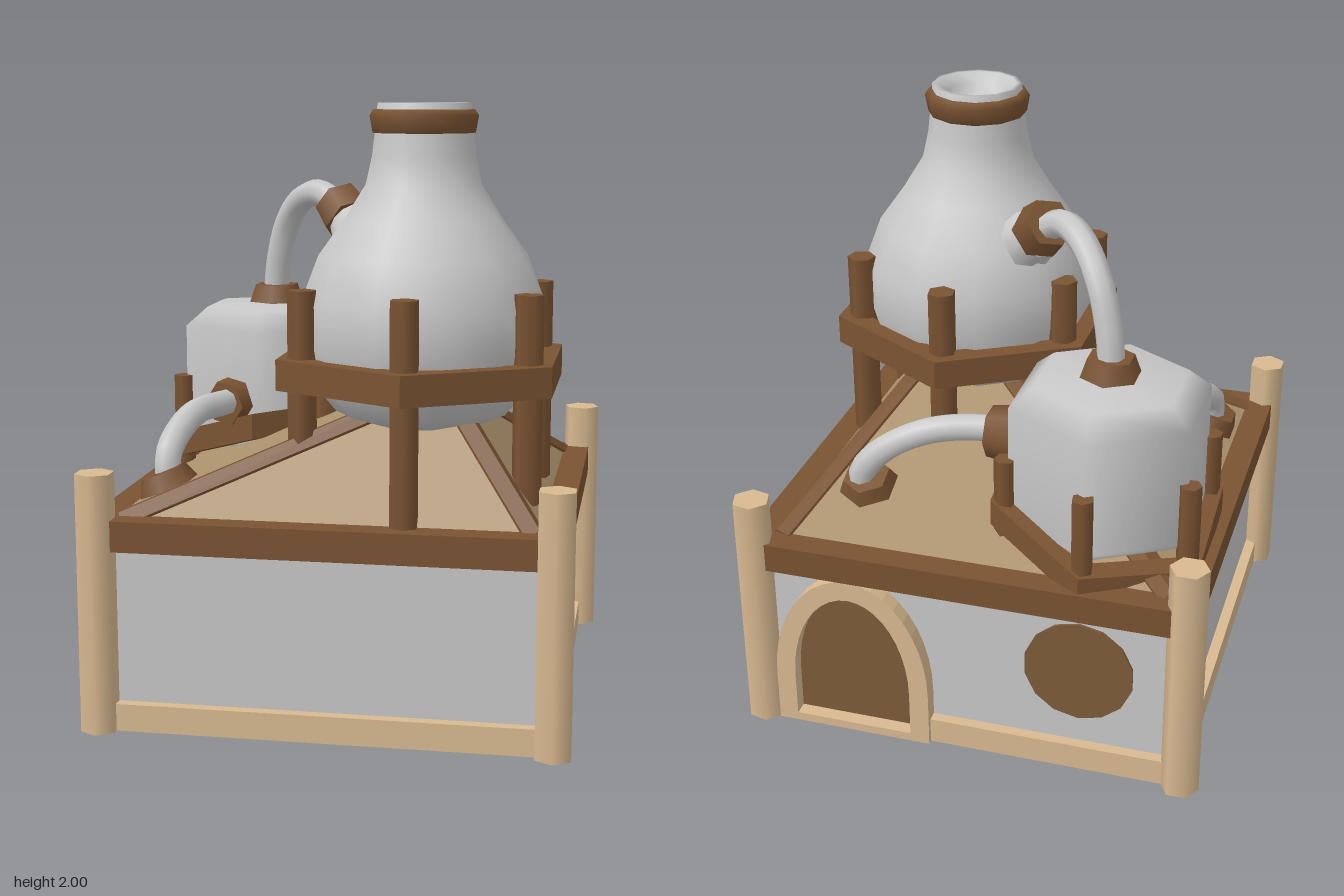
import * as THREE from 'three';
import { ConvexGeometry } from 'three/addons/geometries/ConvexGeometry.js';

const mat = (name, color, side = THREE.FrontSide) => {
  const m = new THREE.MeshStandardMaterial({ color, side });
  m.name = name;
  return m;
};

export function createModel() {
  const model = new THREE.Group();
  model.name = 'alchemyHut';
  const grey = mat('paleGrey', 0xc8c8c8, THREE.DoubleSide);
  const brown = mat('darkWood', 0x7a5332);
  const doorMat = mat('doorWood', 0x7c5b38);
  const tan = mat('paleWood', 0xd9ba91);
  const roofMat = mat('roofBoards', 0xab916d, THREE.DoubleSide);

  const V = (x, y, z) => new THREE.Vector3(x, y, z);
  const add = (name, geo, m, x = 0, y = 0, z = 0) => {
    const mesh = new THREE.Mesh(geo, m);
    mesh.name = name;
    mesh.position.set(x, y, z);
    model.add(mesh);
    return mesh;
  };

  // Off-centre pyramid roof and its height at any point
  const E = 0.67, apex = V(0.336, 1.12, 0.336);
  const roofY = (x, z) => 0.7 + Math.max(0, Math.min(
    0.417 * Math.min(x + E, z + E), 1.257 * Math.min(E - x, E - z)));

  // Four sides: wall, base rail, inner ledge and eave beam
  for (let i = 0; i < 4; i++) {
    const a = i * Math.PI / 2, s = Math.sin(a), c = Math.cos(a);
    const side = (name, m, w, h, d, y, r, shift = 0) => {
      const p = add(name, new THREE.BoxGeometry(w, h, d), m, s * r + c * shift, y, c * r - s * shift);
      p.rotation.y = a;
    };
    side('wall', grey, 1.38, 0.63, 0.02, 0.318, 0.69);
    side('innerLedge', tan, 1.36, 0.03, 0.03, 0.075, 0.668);
    side('eaveBeam', brown, 1.52 - (i % 2) * 0.18, 0.1, 0.09, 0.65, 0.715);
    // the back rail stops at the door
    if (i === 2) side('baseRail', tan, 0.84, 0.09, 0.04, 0.045, 0.717, 0.28);
    else side('baseRail', tan, 1.4, 0.09, 0.04, 0.045, 0.717);
  }

  // Corner posts
  for (const [x, z, turn] of [[-1, -1, 0.52], [-1, 1, 0], [1, 1, 0], [1, -1, 0.3]]) {
    add('cornerPost', new THREE.CylinderGeometry(0.064, 0.064, 0.85, 6), tan,
      x * 0.73, 0.425, z * 0.73).rotation.y = turn;
  }

  // Roof panels, with ridge beams folded over each hip
  const corners = [V(-E, 0.7, E), V(E, 0.7, E), V(E, 0.7, -E), V(-E, 0.7, -E)];
  const tris = [];
  corners.forEach((p, i) => {
    const next = corners[(i + 1) % 4], prev = corners[(i + 3) % 4];
    tris.push(p, next, apex);
    const along = apex.clone().sub(p).normalize();
    const [u, w] = [next, prev].map((q) => q.clone().sub(p).projectOnPlane(along).normalize());
    const up = u.clone().add(w).normalize().negate();
    const section = [
      up.clone().multiplyScalar(0.01),
      u.clone().multiplyScalar(0.05).addScaledVector(up, 0.009),
      w.clone().multiplyScalar(0.05).addScaledVector(up, 0.009),
      u.clone().multiplyScalar(0.05).addScaledVector(up, -0.03),
      w.clone().multiplyScalar(0.05).addScaledVector(up, -0.03)];
    const ends = [p, apex].flatMap((end) => section.map((o) => o.clone().add(end)));
    add('ridgeBeam', new ConvexGeometry(ends), brown);
  });
  const roof = new THREE.BufferGeometry().setFromPoints(tris);
  roof.computeVertexNormals();
  add('roofPanels', roof, roofMat);

  // Arched back door with a raised surround
  const arch = (r, y0, top, Type) => {
    const p = new Type(), spring = 0.19;
    p.moveTo(-r, y0);
    p.lineTo(r, y0);
    p.absellipse(0, spring, r, top - spring, 0, Math.PI, false);
    p.lineTo(-r, y0);
    return p;
  };
  const surround = arch(0.272, 0, 0.6, THREE.Shape);
  surround.holes.push(arch(0.205, 0.03, 0.53, THREE.Path));
  add('doorSurround', new THREE.ExtrudeGeometry(surround,
    { depth: 0.065, bevelEnabled: false, curveSegments: 10 }), tan, 0.4, 0, -0.69).rotation.y = Math.PI;
  add('door', new THREE.ShapeGeometry(arch(0.22, 0.02, 0.54, THREE.Shape), 10), doorMat,
    0.4, 0, -0.706).rotation.y = Math.PI;

  // Round back window
  add('roundWindow', new THREE.CylinderGeometry(0.185, 0.185, 0.009, 14), doorMat,
    -0.376, 0.37, -0.704).rotation.x = Math.PI / 2;

  // Hexagonal cradle rings and their posts
  const hex = (r, Type) => new Type(Array.from({ length: 6 }, (_, i) =>
    new THREE.Vector2(r * Math.sin(i * Math.PI / 3), r * Math.cos(i * Math.PI / 3))));
  const hexRing = (outer, inner, h) => {
    const s = hex(outer, THREE.Shape);
    s.holes.push(hex(inner, THREE.Path));
    return new THREE.ExtrudeGeometry(s, { depth: h, bevelEnabled: false }).rotateX(-Math.PI / 2);
  };
  const posts = (name, cx, cz, r, radius, top, first) => {
    for (let i = first; i < 6; i++) {
      const a = i * Math.PI / 3, x = cx + r * Math.sin(a), z = cz + r * Math.cos(a);
      const bottom = roofY(x, z) - 0.03;
      add(name, new THREE.CylinderGeometry(radius, radius, top - bottom, 6), brown,
        x, (top + bottom) / 2, z).rotation.y = i * 0.4;
    }
  };
  add('largeCradleRing', hexRing(0.51, 0.42, 0.1), brown, 0.25, 1.09, 0.25);
  posts('largeCradlePost', 0.25, 0.25, 0.42, 0.048, 1.41, 0);
  // the small ring leans with the roof ridge
  const lean = new THREE.Matrix4().set(1, 0, 0, 0, 0.21, 1, 0.21, 0, 0, 0, 1, 0, 0, 0, 0, 1);
  add('smallCradleRing', hexRing(0.4, 0.33, 0.09).applyMatrix4(lean), brown, -0.38, 0.75, -0.35);
  posts('smallCradlePost', -0.38, -0.35, 0.35, 0.037, 1.02, 1);

  // Large flask with a funnel mouth, its shoulder drawn out towards the pipe
  const lathe = (pts, n, start = 0) => new THREE.LatheGeometry(
    pts.map(([r, y]) => new THREE.Vector2(r, y)), n, start);
  const flask = lathe([[0, 0.955], [0.2, 0.96], [0.29, 1.0], [0.365, 1.09], [0.402, 1.22],
    [0.402, 1.36], [0.345, 1.51], [0.258, 1.63], [0.19, 1.74], [0.17, 1.83], [0.158, 1.93],
    [0.152, 2], [0.135, 2], [0.1, 1.97], [0.085, 1.93], [0.01, 1.9]], 12, Math.PI / 12);
  const pos = flask.attributes.position, pull = V(-0.25, 1.53, -0.25), v = V(0, 0, 0);
  for (let i = 0; i < pos.count; i++) {
    v.fromBufferAttribute(pos, i);
    const f = Math.exp(-((v.distanceTo(pull) / 0.16) ** 2));
    pos.setXYZ(i, v.x - 0.05 * f, v.y + 0.05 * f, v.z - 0.05 * f);
  }
  add('largeFlask', flask, grey, 0.25, 0, 0.25);
  add('neckCollar', lathe([[0.15, 1.91], [0.168, 1.905], [0.178, 1.96], [0.165, 1.98], [0.145, 1.98]],
    12, Math.PI / 12), brown, 0.25, 0, 0.25);

  // Small six-sided tank
  add('smallTank', lathe([[0.33, 0.78], [0.34, 0.8], [0.34, 1.2], [0.26, 1.265], [0, 1.285]], 6),
    grey, -0.38, 0, -0.35);

  // Pipes with hexagonal fittings
  const fitting = (name, at, dir, r0, r1, len, m = brown, sides = 6) => {
    const f = add(name, new THREE.CylinderGeometry(r1, r0, len, sides), m);
    f.position.copy(at);
    f.quaternion.setFromUnitVectors(V(0, 1, 0), dir.normalize());
  };
  const pipe = (name, pts) => add(name, new THREE.TubeGeometry(
    new THREE.CatmullRomCurve3(pts), 20, 0.046, 8), grey);

  pipe('upperPipe', [V(-0.38, 1.28, -0.35), V(-0.365, 1.42, -0.335), V(-0.325, 1.56, -0.3),
    V(-0.25, 1.66, -0.22), V(-0.16, 1.685, -0.13), V(-0.05, 1.61, -0.04)]);
  fitting('tankTopFitting', V(-0.375, 1.305, -0.345), V(0, 1, 0), 0.105, 0.08, 0.07);
  fitting('flaskFitting', V(-0.07, 1.63, -0.05), V(-1, 1.1, -1), 0.095, 0.085, 0.1);
  fitting('flaskSpout', V(0.005, 1.55, 0.02), V(-1, 1.0, -1), 0.13, 0.08, 0.16, grey, 12);

  pipe('sidePipe', [V(-0.1, 1.03, -0.37), V(0.06, 1.04, -0.385), V(0.22, 1.02, -0.42),
    V(0.36, 0.95, -0.45), V(0.44, 0.86, -0.46), V(0.45, 0.78, -0.455)]);
  fitting('sideTankFitting', V(-0.035, 1.03, -0.38), V(1, 0, 0), 0.1, 0.085, 0.11);
  fitting('sideRoofFitting', V(0.43, 0.815, -0.45), V(0, 0.92, -0.38), 0.105, 0.08, 0.06);

  pipe('frontPipe', [V(-0.45, 0.95, -0.12), V(-0.49, 0.955, 0.02), V(-0.545, 0.95, 0.17),
    V(-0.575, 0.9, 0.31), V(-0.585, 0.84, 0.39), V(-0.58, 0.76, 0.41)]);
  fitting('frontTankFitting', V(-0.475, 0.95, -0.04), V(-0.4, 0, 0.92), 0.09, 0.08, 0.08);
  fitting('frontRoofFitting', V(-0.585, 0.765, 0.42), V(-0.38, 0.92, 0), 0.105, 0.08, 0.06);

  return model;
}
